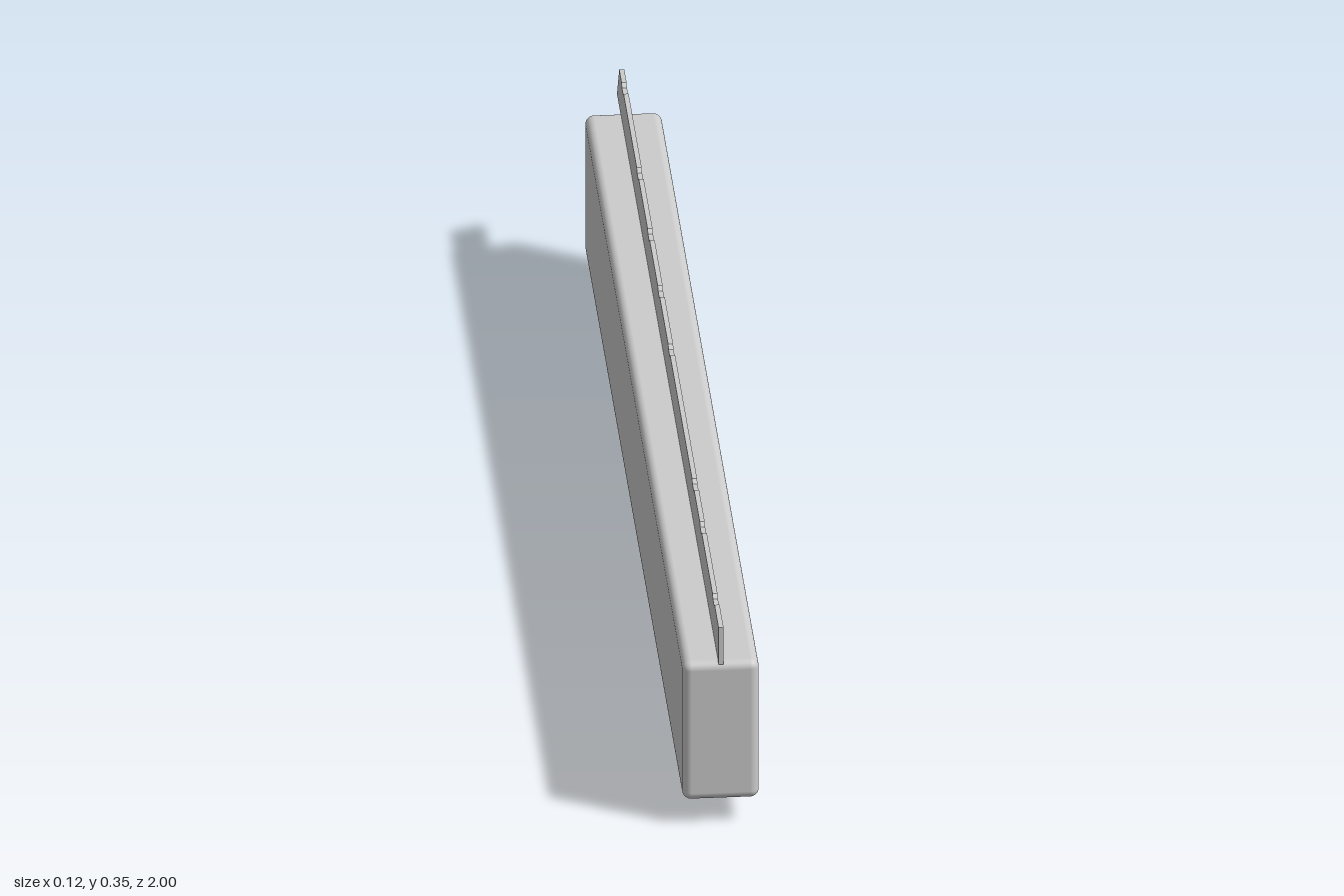
import * as THREE from 'three';
import { RoundedBoxGeometry } from 'three/addons/geometries/RoundedBoxGeometry.js';

const material = new THREE.MeshStandardMaterial({ color: 0xcccccc });

function addMesh(parent, name, geometry) {
  const mesh = new THREE.Mesh(geometry, material);
  mesh.name = name;
  parent.add(mesh);
  return mesh;
}

// Thin upright strip with shallow notches along its top edge and a slanted rear end
function bladeGeometry() {
  const bottom = 0.286, top = 0.352, depth = 0.006, thickness = 0.008;
  const notches = [-0.893, -0.594, -0.38, -0.18, 0.025, 0.497, 0.648, 0.9];
  const shape = new THREE.Shape();
  shape.moveTo(1, bottom);
  shape.lineTo(1, top);
  for (const z of [...notches].reverse()) {
    shape.lineTo(z + 0.02, top);
    shape.lineTo(z + 0.012, top - depth);
    shape.lineTo(z - 0.012, top - depth);
    shape.lineTo(z - 0.02, top);
  }
  shape.lineTo(-0.958, top);
  shape.lineTo(-1, bottom + 0.004);
  shape.lineTo(-0.997, bottom);
  shape.closePath();
  const geometry = new THREE.ExtrudeGeometry(shape, { depth: thickness, bevelEnabled: false });
  geometry.translate(0, 0, -thickness / 2);
  geometry.rotateY(-Math.PI / 2);
  return geometry;
}

export function createModel() {
  const model = new THREE.Group();
  model.name = 'notchedBar';

  // Long softly rounded body
  const body = addMesh(model, 'body', new RoundedBoxGeometry(0.122, 0.246, 1.935, 5, 0.014));
  body.position.set(0, 0.166, 0.0325);

  addMesh(model, 'blade', bladeGeometry());

  // Two feet: flat disc, collar and stem
  [['frontFoot', 0.867], ['rearFoot', -0.79]].forEach(([name, z]) => {
    const foot = new THREE.Group();
    foot.name = name;
    foot.position.z = z;
    [['disc', 0.031, 0, 0.004], ['collar', 0.017, 0.004, 0.009], ['stem', 0.011, 0.009, 0.05]]
      .forEach(([part, radius, y0, y1]) => {
        const piece = addMesh(foot, part, new THREE.CylinderGeometry(radius, radius, y1 - y0, 32));
        piece.position.y = (y0 + y1) / 2;
      });
    model.add(foot);
  });

  return model;
}
